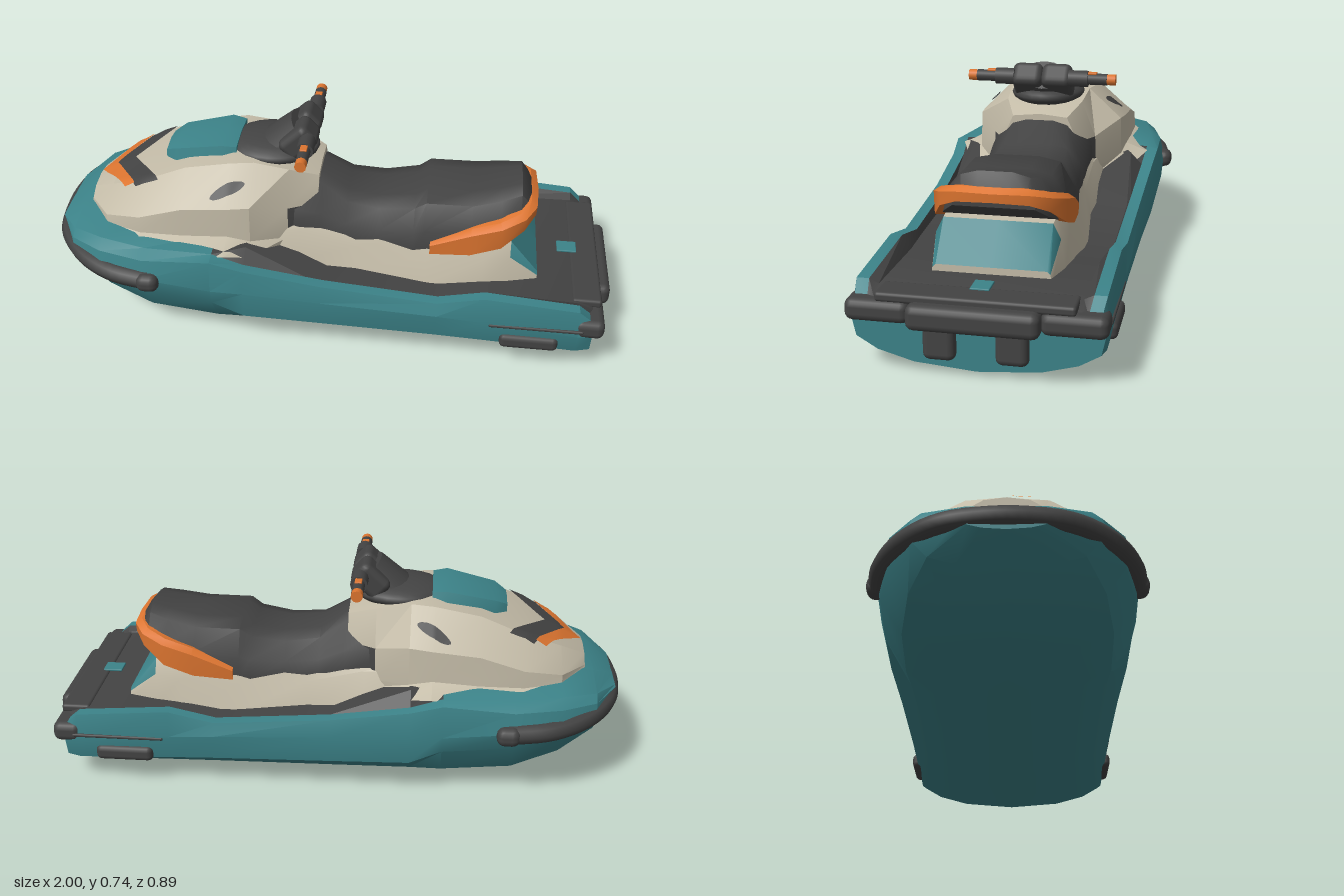
import * as THREE from 'three';
import { toCreasedNormals } from 'three/addons/utils/BufferGeometryUtils.js';
import { RoundedBoxGeometry } from 'three/addons/geometries/RoundedBoxGeometry.js';

const paint = (name, color) => Object.assign(new THREE.MeshStandardMaterial({ color }), { name });

// Skin over equal-length rings of [x,y,z]; pick(i, j) gives the material index of each quad.
function skin(rings, pick = () => 0, crease = 0.6) {
  const n = rings[0].length, m = rings.length, pos = rings.flat(2), sets = [];
  const add = (k, ...ids) => (sets[k] ??= []).push(...ids);
  for (let i = 0; i < m - 1; i++) for (let j = 0; j < n; j++) {
    const a = i * n + j, d = i * n + (j + 1) % n, b = a + n, c = d + n;
    add(pick(i, j), a, b, c, a, c, d);
  }
  [0, m - 1].forEach((r, end) => {
    const hub = pos.length / 3;
    pos.push(...[0, 1, 2].map(k => rings[r].reduce((s, p) => s + p[k], 0) / n));
    for (let j = 0; j < n; j++) {
      const a = r * n + j, b = r * n + (j + 1) % n;
      add(0, hub, ...(end ? [b, a] : [a, b]));
    }
  });
  const g = new THREE.BufferGeometry();
  g.setAttribute('position', new THREE.Float32BufferAttribute(pos, 3));
  g.setIndex(sets.flat());
  let start = 0;
  sets.forEach((s, k) => { g.addGroup(start, s.length, k); start += s.length; });
  return toCreasedNormals(g, crease);
}

// Mirrored cross-section: half profile of [z,y] from bottom centre to top centre.
const section = (x, half) => [
  ...half.map(([z, y]) => [x, y, z]),
  ...half.slice(1, -1).reverse().map(([z, y]) => [x, y, -z]),
];
// Strip number on the half profile, the same on both sides.
const strip = (j, n) => (j < n - 1 ? j : 2 * (n - 1) - 1 - j);

export function createModel() {
  const model = new THREE.Group();
  const teal = paint('teal', 0x3c8389), cream = paint('cream', 0xc4bca8);
  const dark = paint('charcoal', 0x434343), orange = paint('orange', 0xdd7530);
  const add = (name, geo, mat, x = 0, y = 0, z = 0) => {
    const mesh = new THREE.Mesh(geo, mat);
    mesh.name = name;
    mesh.position.set(x, y, z);
    model.add(mesh);
    return mesh;
  };
  const block = (name, mat, w, h, d, r, x, y, z) =>
    add(name, new RoundedBoxGeometry(w, h, d, 2, r), mat, x, y, z);

  // Hull stations: x, keel height, half width, gunwale height, rail height, floor half width, floor height
  const hull = [
    [-.98, .26, .14, .31, .33, .04, .335], [-.9, .18, .29, .3, .34, .12, .385],
    [-.78, .1, .37, .29, .35, .15, .41], [-.62, .03, .41, .28, .35, .2, .4],
    [-.38, .01, .42, .26, .37, .25, .385], [-.27, .008, .41, .25, .335, .31, .38],
    [0, .003, .4, .23, .29, .33, .255], [.4, 0, .395, .21, .255, .33, .23],
    [.56, 0, .395, .2, .29, .31, .245], [.88, .005, .395, .17, .265, .31, .25],
    [.93, .015, .385, .17, .22, .31, .23],
  ].map(([x, keel, w, gunwale, rail, floorW, floor]) => {
    const side = (k, t) => [w * k, THREE.MathUtils.lerp(keel, gunwale, t)];
    const inner = x < -.3 ? (rail + floor) / 2 : rail;
    return section(x, [side(0, 0), side(.5, .1), side(.79, .3), side(.96, x < -.3 ? .75 : .55), side(1, 1),
      [w * .96, rail], [w * .86, inner], [floorW, floor], [0, floor]]);
  });
  add('hull', skin(hull, (i, j) => (i >= 4 && strip(j, 9) >= 6 ? 1 : 0), 0.45), [teal, dark]);

  // Hood: lower edge, shoulder and crown widths and heights
  const hood = [
    [-.87, .1, .36, .11, .4, .07, .425, .435],
    [-.78, .27, .36, .235, .42, .13, .48, .49],
    [-.65, .355, .36, .28, .45, .17, .535, .545],
    [-.5, .355, .36, .28, .495, .165, .595, .605],
    [-.34, .365, .37, .28, .51, .165, .625, .645],
    [-.26, .33, .35, .27, .515, .15, .625, .64],
    [-.14, .19, .32, .19, .47, .14, .6, .615],
    [-.04, .13, .3, .14, .47, .1, .56, .57],
  ].map(([x, w, y, w2, y2, w3, y3, top]) =>
    section(x, [[0, y], [w, y], [w2 + .005, y + .03], [w2, y2], [w3, y3], [0, top]]));
  const isUnderside = (i, j) => i >= 6 && [1, 2].includes(strip(j, 6));
  const hoodMesh = add('hood', skin(hood, (i, j) => (isUnderside(i, j) ? 1 : 0), 0.4), [cream, dark]);

  // Thin plates draped over the hood, between xFront(z) and xBack(z)
  const ray = new THREE.Raycaster(), down = new THREE.Vector3(0, -1, 0);
  function drape(name, mat, z0, z1, xFront, xBack, lift) {
    const nu = 20, nv = 8, pos = [], idx = [];
    for (let i = 0; i <= nu; i++) for (let k = 0; k <= nv; k++) {
      const z = z0 + (z1 - z0) * i / nu;
      const x = THREE.MathUtils.lerp(xFront(z), xBack(z), k / nv);
      ray.set(new THREE.Vector3(x, 2, z), down);
      const hit = ray.intersectObject(hoodMesh)[0];
      pos.push(x, (hit ? hit.point.y : .4) + lift, z);
      if (i < nu && k < nv) {
        const a = i * (nv + 1) + k, b = a + nv + 1;
        idx.push(a, b, a + 1, b, b + 1, a + 1);
      }
    }
    const g = new THREE.BufferGeometry();
    g.setAttribute('position', new THREE.Float32BufferAttribute(pos, 3));
    g.setIndex(idx);
    g.computeVertexNormals();
    add(name, g, mat);
  }
  const V = (x, k) => z => x + k * Math.abs(z);
  drape('noseTrim', orange, -.17, .17, V(-.86, .8), V(-.8, .66), .009);
  drape('noseInset', dark, -.185, .185, V(-.81, .7), V(-.73, .72), .006);
  for (const s of [1, -1]) {
    const middle = z => -.34 - 1.7 * (Math.abs(z) - .235);
    const edge = z => .035 * Math.sqrt(Math.max(0, 1 - ((Math.abs(z) - .235) / .027) ** 2));
    drape('hoodVent', dark, s * .235 - .027, s * .235 + .027,
      z => middle(z) - edge(z), z => middle(z) + edge(z), .009);
  }

  // Raised hood panel
  add('hoodPanel', skin([[-.59, .07, .575, .61], [-.55, .1, .58, .632], [-.38, .12, .61, .667], [-.33, .11, .61, .66]]
    .map(([x, w, y, top]) => section(x, [[0, y], [w, y], [w * .9, top - .01], [0, top]]))), [teal]);

  // Seat base with sloping rear panel
  const base = [
    [-.28, .26, .3, .22, .4, .18, .42], [-.1, .22, .27, .19, .38, .16, .42], [.1, .215, .24, .19, .33, .16, .4],
    [.35, .245, .22, .21, .32, .18, .4], [.55, .23, .22, .21, .33, .18, .4],
    [.64, .215, .23, .2, .34, .175, .39], [.74, .19, .23, .185, .26, .175, .27],
  ];
  add('seatBase', skin(base.map(([x, w, y, w2, y2, w3, top]) =>
    section(x, [[0, y], [w, y], [w2, y2], [w3, top], [0, top]])),
  (i, j) => (i >= 5 && strip(j, 5) >= 2 ? 1 : 0)), [cream, teal]);

  // Stepped saddle: bottom width and height, top width and height
  const seat = [
    [-.22, .19, .4, .11, .58], [-.03, .18, .365, .1, .545], [.06, .18, .345, .12, .485], [.18, .185, .335, .13, .472],
    [.3, .2, .335, .14, .49], [.34, .2, .335, .145, .518], [.5, .2, .36, .145, .52],
    [.6, .19, .39, .13, .54], [.665, .165, .42, .11, .555], [.7, .13, .45, .1, .515],
  ];
  add('seat', skin(seat.map(([x, w, y, wt, top]) => section(x, [
    [0, y], [w, y], [w * .97, y + (top - y) * .45], [wt, top - .015], [wt * .5, top], [0, top],
  ])), undefined, 0.8), [dark]);

  // Grab rail wrapped around the seat back: x, z, bottom, top, outward direction
  const side = [
    [.36, .195, .335, .385, 0, 1], [.5, .205, .35, .447, 0, 1], [.6, .2, .385, .478, .3, .95],
    [.67, .165, .44, .5, .7, .7], [.705, .11, .468, .515, .9, .4],
  ];
  const rail = [...side, [.71, 0, .472, .515, 1, 0],
    ...side.map(([x, z, b, t, nx, nz]) => [x, -z, b, t, nx, -nz]).reverse()];
  add('grabRail', skin(rail.map(([x, z, b, t, nx, nz]) => {
    const p = (o, y) => [x + nx * o, y, z + nz * o];
    return [p(.014, b), p(.016, t - .015), p(-.008, t), p(-.045, t - .003), p(-.035, b)];
  })), [orange]);

  // Bow bumper
  const bow = [[-.6, .275, .405], [-.74, .28, .375], [-.86, .29, .3], [-.94, .3, .19], [-.967, .305, .06]];
  const path = [...bow, ...bow.map(([x, y, z]) => [x, y, -z]).reverse()].map(p => new THREE.Vector3(...p));
  add('bowBumper', new THREE.TubeGeometry(new THREE.CatmullRomCurve3(path), 40, .034, 8), dark);

  // Steering console and neck
  add('console', new THREE.SphereGeometry(1, 24, 12), dark, -.215, .622, 0).scale.set(.165, .045, .135);
  const neck = add('steeringNeck', new THREE.CylinderGeometry(.06, .075, .16, 16), dark, -.165, .645, 0);
  neck.rotation.z = -.8;
  neck.scale.z = 1.4;
  for (const s of [1, -1]) {
    block('steeringPad', dark, .13, .09, .112, .025, -.115, .678, s * .054).rotation.z = .75;
    block('railBumper', dark, .32, .012, .02, .005, .74, .19, s * .388);
    block('sidePad', dark, .2, .055, .04, .019, .72, .125, s * .382);
    block('bowBumperEnd', dark, .08, .066, .062, .028, -.6, .275, s * .412);
    block('sternBumperSide', dark, .1, .07, .2, .025, .92, .195, s * .295);
    block('sternPad', dark, .05, .12, .1, .022, .935, .11, s * .11);
    // Handlebar grip with coloured end
    const bar = (name, mat, r, z, len) => {
      add(name, new THREE.CylinderGeometry(r, r, len, 12), mat, -.08, .698, s * z).rotation.x = Math.PI / 2;
    };
    bar('gripCollar', dark, .03, .135, .07);
    bar('grip', dark, .021, .175, .13);
    bar('gripEnd', orange, .02, .248, .045);
    block('gripSwitch', orange, .025, .008, .035, .003, -.08, .719, s * .185);
  }

  // Stern bumper and deck fitting
  block('sternBumper', dark, .1, .08, .4, .025, .95, .195, 0);
  block('sternDeck', dark, .1, .03, .6, .01, .91, .24, 0);
  block('deckFitting', teal, .07, .008, .06, .003, .85, .256, 0);

  return model;
}
